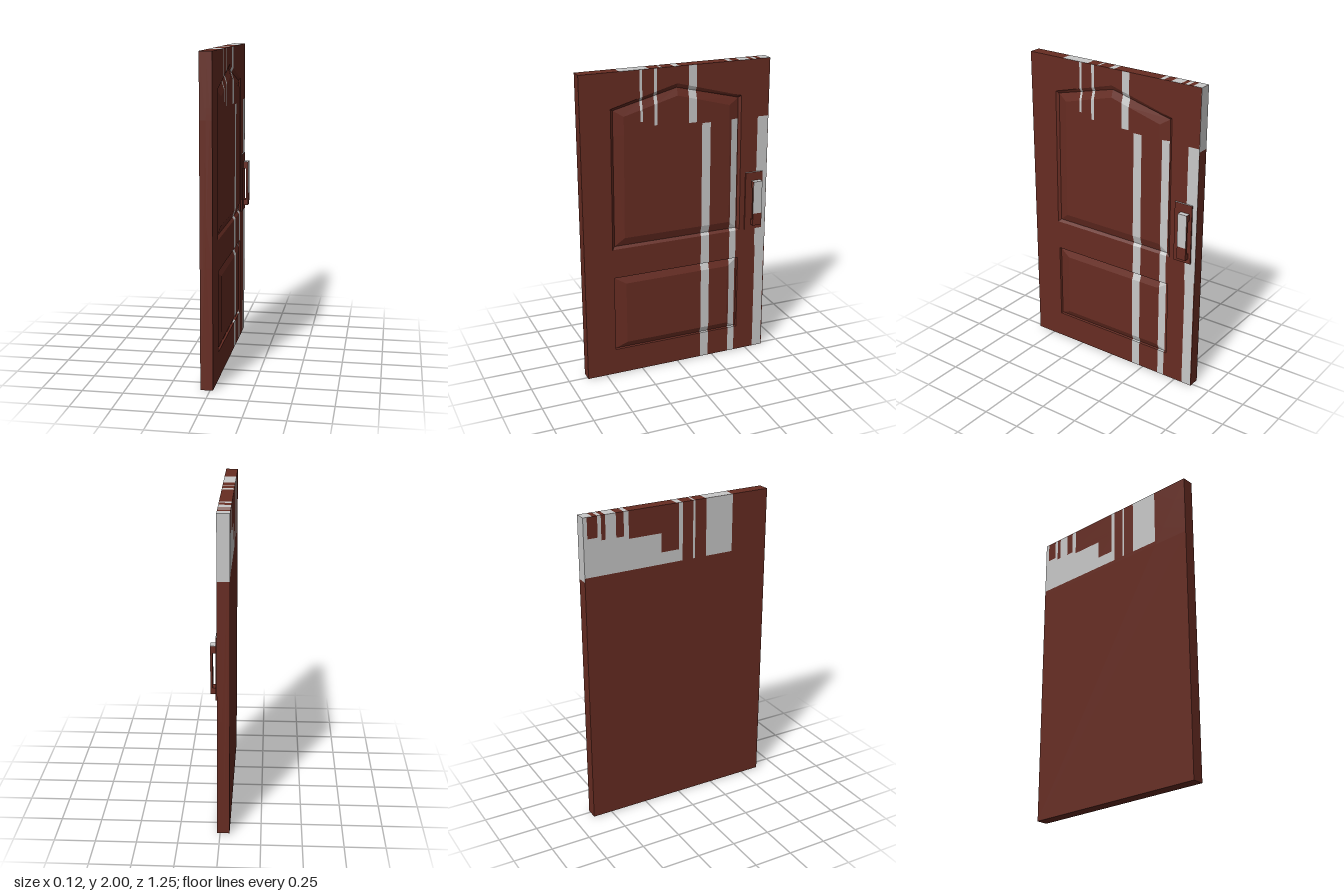
import * as THREE from 'three';

const BACK = -0.058, FRONT = 0.018, FLOOR = 0.006, FIELD = 0.022, HALF = 0.625;

const red = new THREE.MeshStandardMaterial({ color: 0x672c22 });
red.name = 'redBrown';
const grey = new THREE.MeshStandardMaterial({ color: 0xc9c9c9 });
grey.name = 'paleGrey';

// Triangles of a geometry as arrays of [x, y, z] corners
function polygonsOf(geometry) {
  const p = (geometry.index ? geometry.toNonIndexed() : geometry).attributes.position;
  const out = [];
  for (let i = 0; i < p.count; i += 3) {
    out.push([0, 1, 2].map((k) => [p.getX(i + k), p.getY(i + k), p.getZ(i + k)]));
  }
  return out;
}

// Keep the part of a convex polygon on one side of an axis plane
function clip(poly, axis, value, sign) {
  const out = [];
  poly.forEach((a, i) => {
    const b = poly[(i + 1) % poly.length];
    const da = (a[axis] - value) * sign, db = (b[axis] - value) * sign;
    if (da >= 0) out.push(a);
    if (da * db < 0) out.push(a.map((v, k) => v + (b[k] - v) * (da / (da - db))));
  });
  return out.length > 2 ? out : null;
}

// Turn convex polygons into a flat-shaded mesh
function meshOf(polys, material, name) {
  const pos = [];
  for (const p of polys) {
    for (let i = 1; i < p.length - 1; i++) pos.push(...p[0], ...p[i], ...p[i + 1]);
  }
  const g = new THREE.BufferGeometry();
  g.setAttribute('position', new THREE.Float32BufferAttribute(pos, 3));
  g.computeVertexNormals();
  const mesh = new THREE.Mesh(g, material);
  mesh.name = name;
  return mesh;
}

// Split a surface into red and grey: grey wherever it lies in a box [x0, x1, y0, y1, z0, z1]
function painted(polys, boxes, name) {
  const greyPolys = [];
  let rest = polys;
  for (const box of boxes) {
    const next = [];
    for (const poly of rest) {
      let inside = poly;
      for (let k = 0; k < 6 && inside; k++) {
        const axis = k >> 1, sign = k % 2 ? -1 : 1;
        const outside = clip(inside, axis, box[k], -sign);
        if (outside) next.push(outside);
        inside = clip(inside, axis, box[k], sign);
      }
      if (inside) greyPolys.push(inside);
    }
    rest = next;
  }
  const group = new THREE.Group();
  group.name = name;
  group.add(meshOf(rest, red, name + 'Red'), meshOf(greyPolys, grey, name + 'Grey'));
  return group;
}

// Panel outline, counter-clockwise seen from the front face: [u, y] with u = -z
const outline = (w, bottom, shoulder, apex, flare = 0) => [
  [-w - flare, bottom], [w + flare, bottom], [w, shoulder], [0, apex], [-w, shoulder],
];

// Each panel: groove rim, groove floor, raised field
const upperPanel = [
  outline(0.432, 0.875, 1.778, 1.895, 0.006),
  outline(0.415, 0.893, 1.765, 1.868, 0.006),
  outline(0.35, 0.945, 1.725, 1.82, 0.008),
];
const lowerPanel = [
  outline(0.431, 0.175, 0.681, 0.681),
  outline(0.427, 0.179, 0.676, 0.676),
  outline(0.353, 0.217, 0.633, 0.633),
];
const depths = [FRONT, FLOOR, FIELD];

function panelPolygons(loops) {
  const at = (level, i) => {
    const [u, y] = loops[level][i % loops[level].length];
    return [depths[level], y, -u];
  };
  const polys = [];
  for (let l = 0; l < 2; l++) {
    for (let i = 0; i < 5; i++) polys.push([at(l, i), at(l, i + 1), at(l + 1, i + 1), at(l + 1, i)]);
  }
  polys.push(loops[2].map((_, i) => at(2, i)));
  return polys;
}

function doorPolygons() {
  // Slab without its front face
  const slab = new THREE.BoxGeometry(FRONT - BACK, 2, HALF * 2).translate((FRONT + BACK) / 2, 1, 0);
  const sides = polygonsOf(slab).filter((t) => !t.every((c) => c[0] > FRONT - 0.001));
  // Front face with an opening for each panel
  const points = (loop) => loop.map(([u, y]) => new THREE.Vector2(u, y));
  const face = new THREE.Shape(points([[-HALF, 0], [HALF, 0], [HALF, 2], [-HALF, 2]]));
  for (const p of [upperPanel, lowerPanel]) face.holes.push(new THREE.Path(points(p[0])));
  const front = new THREE.ShapeGeometry(face).rotateY(Math.PI / 2).translate(FRONT, 0, 0);
  return [...sides, ...polygonsOf(front), ...panelPolygons(upperPanel), ...panelPolygons(lowerPanel)];
}

export function createModel() {
  const model = new THREE.Group();
  model.name = 'door';

  // Grey streaks down the front: [y0, y1, z0, z1]
  const frontStreaks = [
    [1.68, 1.999, 0.228, 0.244], [1.65, 1.999, 0.132, 0.153], [1.64, 1.999, -0.127, -0.074],
    [0.001, 1.63, -0.222, -0.164], [0.001, 1.63, -0.413, -0.367],
    [0.75, 1.63, -0.624, -0.55], [0.001, 0.75, -0.62, -0.555],
  ].map(([y0, y1, z0, z1]) => [-0.02, 0.03, y0, y1, z0, z1]);

  // Grey bands across the top edge: [z0, z1]
  const topBands = [
    [-0.63, -0.565], [-0.535, -0.512], [-0.485, -0.417], [-0.367, -0.34],
    [-0.015, 0.022], [0.098, 0.111], [0.184, 0.373],
  ].map(([z0, z1]) => [-0.1, 0.1, 1.9995, 2.1, z0, z1]);

  // Grey area with drips at the top of the back: [z0, z1, upper limit]
  const backDrips = [
    [-0.63, -0.6, 1.999], [-0.6, -0.535, 1.87], [-0.535, -0.512, 1.999], [-0.512, -0.485, 1.85],
    [-0.485, -0.417, 1.999], [-0.417, -0.367, 1.85], [-0.367, -0.335, 1.999], [-0.335, -0.12, 1.83],
    [-0.12, 0.0, 1.71], [0.0, 0.026, 1.999], [0.098, 0.113, 1.999], [0.19, 0.376, 1.999],
  ].map(([z0, z1, top]) => [-0.1, BACK + 0.0005, 1.635, top, z0, z1]);

  // Grey top of the lock-side edge
  const edgePatch = [-0.1, 0.1, 1.61, 1.999, -0.63, -0.6245];

  model.add(painted(doorPolygons(), [...frontStreaks, ...topBands, ...backDrips, edgePatch], 'doorLeaf'));

  // Handle back plate
  const handle = new THREE.Group();
  handle.name = 'handle';
  const plate = new THREE.BoxGeometry(0.009, 0.39, 0.121).translate(0.0215, 1.07, -0.533);
  handle.add(painted(polygonsOf(plate), [[0, 0.1, 1.2645, 1.3, -0.7, -0.4]], 'handlePlate'));

  // Pull grip: a rectangular frame standing out from the plate
  const rect = (Type, x0, x1, y0, y1) => new Type([[x0, y0], [x1, y0], [x1, y1], [x0, y1]]
    .map(([x, y]) => new THREE.Vector2(x, y)));
  const frame = rect(THREE.Shape, 0.024, 0.058, 0.908, 1.208);
  frame.holes.push(rect(THREE.Path, 0.026, 0.044, 0.945, 1.162));
  const pull = new THREE.ExtrudeGeometry(frame, { depth: 0.062, bevelEnabled: false }).translate(0, 0, -0.577);
  handle.add(painted(polygonsOf(pull), [
    [0.0575, 0.1, 0.99, 1.207, -0.7, -0.4],
    [0, 0.1, 1.2075, 1.3, -0.7, -0.4],
  ], 'handlePull'));
  model.add(handle);

  return model;
}
